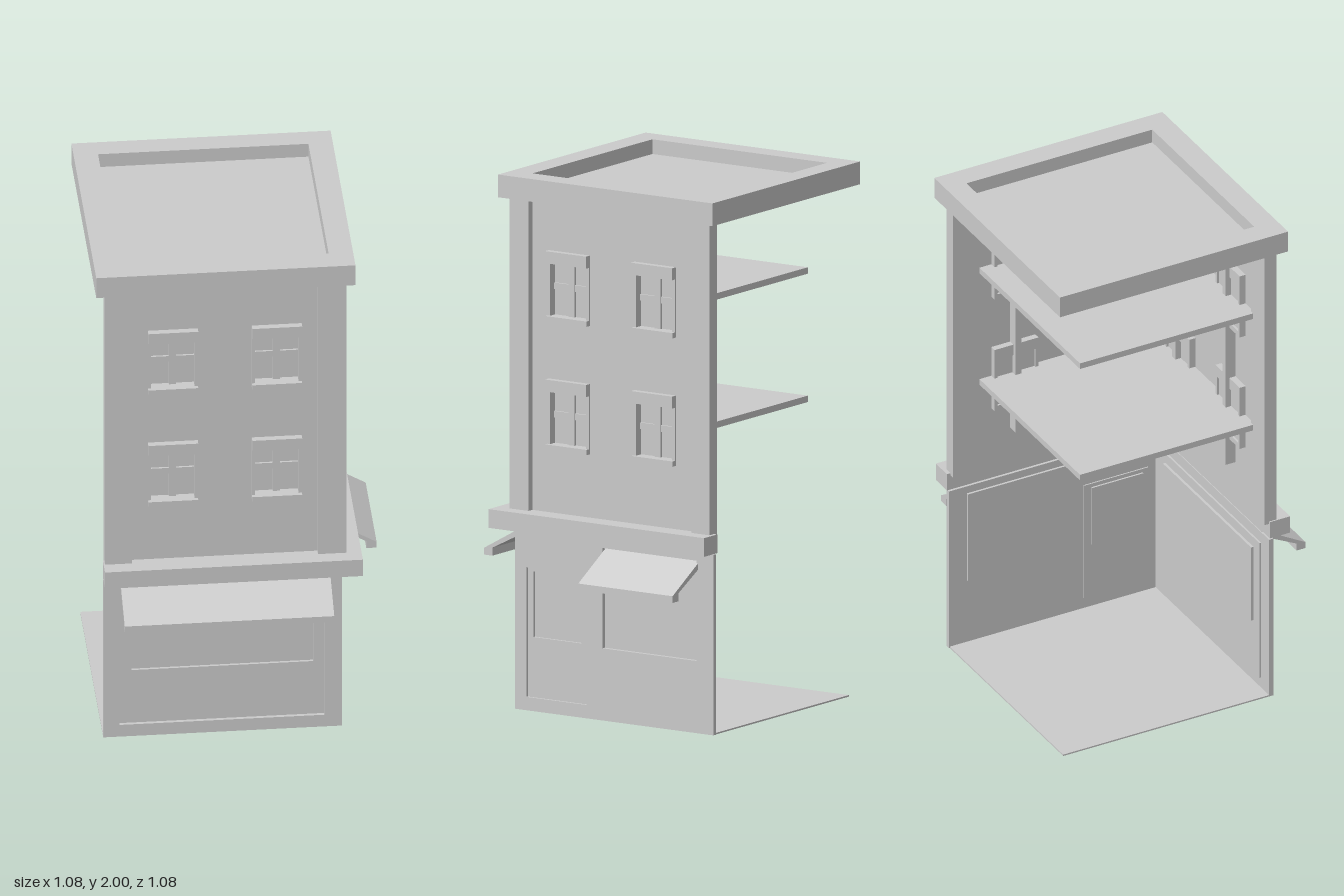
import * as THREE from 'three';

const mat = new THREE.MeshStandardMaterial({ color: 0xcccccc, flatShading: true });

function add(parent, name, geo) {
  const m = new THREE.Mesh(geo, mat);
  m.name = name;
  parent.add(m);
  return m;
}

// Box given by its min/max ranges
function box(parent, name, [x0, x1], [y0, y1], [z0, z1]) {
  const g = new THREE.BoxGeometry(x1 - x0, y1 - y0, z1 - z0);
  g.translate((x0 + x1) / 2, (y0 + y1) / 2, (z0 + z1) / 2);
  return add(parent, name, g);
}

function rect(C, [x0, x1], [y0, y1]) {
  const p = new C();
  p.moveTo(x0, y0).lineTo(x1, y0).lineTo(x1, y1).lineTo(x0, y1).closePath();
  return p;
}

// Flat panel with rectangular holes, between depths z0 and z1
function panel(parent, name, xr, yr, [z0, z1], holes = []) {
  const s = rect(THREE.Shape, xr, yr);
  for (const [hx, hy] of holes) s.holes.push(rect(THREE.Path, hx, hy));
  const g = new THREE.ExtrudeGeometry(s, { depth: z1 - z0, bevelEnabled: false });
  g.translate(0, 0, z0);
  return add(parent, name, g);
}

// Sash window: lintel, sill, jambs and recessed pane
function sashWindow(parent, u, y) {
  const w = new THREE.Group();
  w.name = 'window';
  box(w, 'lintel', [u - 0.092, u + 0.092], [y + 0.085, y + 0.13], [0.32, 0.385]);
  box(w, 'sill', [u - 0.092, u + 0.092], [y - 0.133, y - 0.113], [0.32, 0.383]);
  for (const s of [-1, 1]) {
    const a = u + s * 0.08, b = u + s * 0.092;
    box(w, 'jamb', [Math.min(a, b), Math.max(a, b)], [y - 0.113, y + 0.085], [0.32, 0.368]);
  }
  box(w, 'pane', [u - 0.08, u + 0.08], [y - 0.113, y + 0.085], [0.328, 0.336]);
  parent.add(w);
}

// Upper facade: wall, end pilasters, windows and tall mullion posts
function upperFacade(name, range, pilasters, centres) {
  const f = new THREE.Group();
  f.name = name;
  const rows = [1.12, 1.6];
  const holes = [];
  for (const u of centres) {
    for (const y of rows) {
      holes.push([[u - 0.08, u + 0.08], [y - 0.113, y + 0.085]]);
      sashWindow(f, u, y);
    }
    box(f, 'mullionPost', [u - 0.013, u + 0.013], [0.88, 1.81], [0.305, 0.346]);
  }
  panel(f, 'upperWall', range, [0.74, 1.92], [0.345, 0.36], holes);
  for (const p of pilasters) box(f, 'pilaster', p, [0.74, 1.92], [0.335, 0.385]);
  return f;
}

// Sloped awning with a short hanging lip
function awning(parent, [u0, u1], yTop, zTip) {
  const y = yTop, t = zTip;
  const s = new THREE.Shape([
    [0.355, y], [t, y - 0.105], [t, y - 0.13], [t - 0.038, y - 0.13],
    [t - 0.038, y - 0.1], [0.355, y - 0.025],
  ].map(([a, b]) => new THREE.Vector2(a, b)));
  const g = new THREE.ExtrudeGeometry(s, { depth: u1 - u0, bevelEnabled: false });
  g.rotateY(-Math.PI / 2).translate(u1, 0, 0);
  add(parent, 'awning', g);
}

export function createModel() {
  const model = new THREE.Group();
  model.name = 'cornerShopBuilding';

  // Ground floor base
  box(model, 'groundFloor', [-0.51, 0.37], [0, 0.006], [-0.51, 0.37]);

  // Shop front
  const front = new THREE.Group();
  front.name = 'shopFront';
  const bay = [[-0.45, 0.305], [0.05, 0.63]];
  const display = [[-0.405, 0.265], [0.275, 0.59]];
  panel(front, 'shopWall', [-0.51, 0.37], [0, 0.675], [0.352, 0.37], [bay]);
  panel(front, 'shopBay', ...bay, [0.345, 0.357], [display]);
  box(front, 'displayWindow', ...display, [0.335, 0.347]);
  awning(front, [-0.447, 0.325], 0.68, 0.54);

  // Side entrance wall, built facing front and turned to +x
  const side = new THREE.Group();
  side.name = 'entranceSide';
  const door = [[-0.32, -0.05], [0.05, 0.535]];
  const doorGlass = [[-0.295, -0.08], [0.275, 0.52]];
  const sideGlass = [[0.02, 0.438], [0.27, 0.645]];
  panel(side, 'entranceWall', [-0.37, 0.513], [0, 0.675], [0.352, 0.37], [door, sideGlass]);
  panel(side, 'door', ...door, [0.347, 0.36], [doorGlass]);
  box(side, 'doorGlass', ...doorGlass, [0.34, 0.35]);
  box(side, 'sideWindow', ...sideGlass, [0.343, 0.355]);
  awning(side, [0.025, 0.445], 0.645, 0.535);
  side.rotation.y = Math.PI / 2;
  model.add(front, side);

  // L-shaped ledge above the shop
  const ledge = new THREE.Shape([
    [-0.51, -0.44], [0.44, -0.44], [0.44, 0.52], [0.355, 0.52], [0.355, -0.355], [-0.51, -0.355],
  ].map(([a, b]) => new THREE.Vector2(a, b)));
  const ledgeGeo = new THREE.ExtrudeGeometry(ledge, { depth: 0.07, bevelEnabled: false });
  ledgeGeo.rotateX(-Math.PI / 2).translate(0, 0.68, 0);
  add(model, 'ledge', ledgeGeo);

  // Upper storeys
  model.add(upperFacade('upperFront', [-0.505, 0.36],
    [[-0.505, -0.405], [0.28, 0.385]], [-0.253, 0.13]));
  const upperSide = upperFacade('upperSide', [-0.36, 0.505],
    [[-0.385, -0.3], [0.425, 0.505]], [-0.135, 0.248]);
  upperSide.rotation.y = Math.PI / 2;
  model.add(upperSide);

  // Inner floors, their edges crossing the windows as glazing bars
  for (const y of [1.115, 1.595]) {
    box(model, 'innerFloor', [-0.42, 0.344], [y - 0.012, y + 0.012], [-0.39, 0.344]);
  }

  // Parapet ring and sunken roof
  const ring = panel(model, 'parapet', [-0.54, 0.415], [-0.415, 0.54], [1.915, 2],
    [[[-0.45, 0.325], [-0.323, 0.455]]]);
  ring.geometry.rotateX(-Math.PI / 2);
  box(model, 'roof', [-0.46, 0.335], [1.933, 1.945], [-0.465, 0.333]);

  return model;
}
